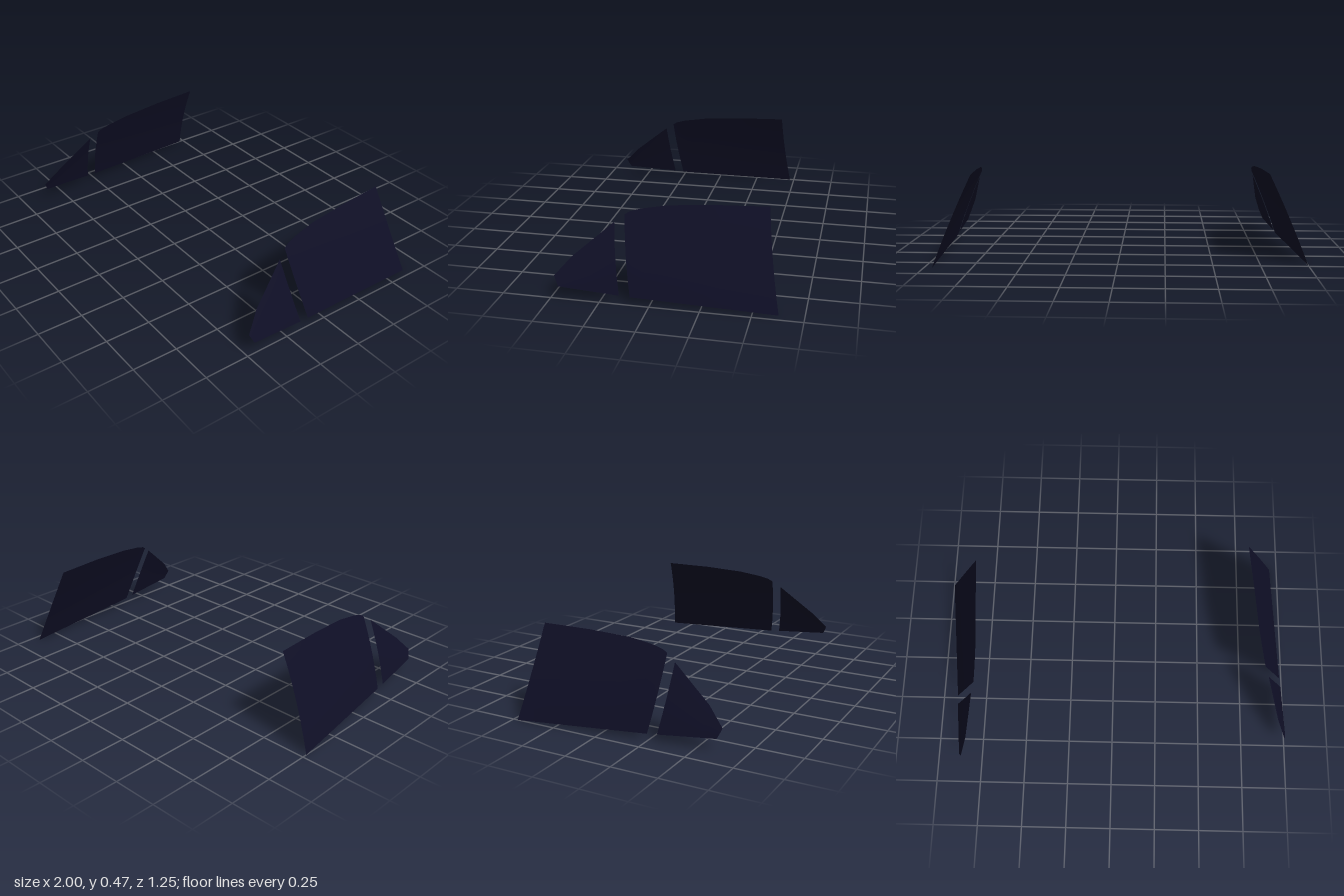
import * as THREE from 'three';

const ROWS = 6;
const YAW = 0.0777;

// Points are [half width, height, forward]
const panes = {
  DoorWindow: {
    bottom: [[0.981, 0, -0.55], [0.952, 0.035, 0.175]],
    top: [
      [0.78, 0.475, -0.487], [0.784, 0.472, -0.22], [0.787, 0.46, 0.01],
      [0.796, 0.44, 0.14], [0.802, 0.425, 0.195], [0.807, 0.41, 0.22],
    ],
  },
  QuarterWindow: {
    bottom: [[0.952, 0.04, 0.2285], [0.94, 0.065, 0.534]],
    top: [[0.824, 0.375, 0.2685], [0.882, 0.205, 0.474], [0.922, 0.115, 0.557]],
  },
};

// Gently bowed sheet of glass lofted from its bottom edge to its top edge
function paneGeometry({ bottom, top }, side) {
  const first = top[0][2];
  const span = top[top.length - 1][2] - first;
  const start = new THREE.Vector3(...bottom[0]);
  const end = new THREE.Vector3(...bottom[1]);
  const positions = [];
  const indices = [];
  top.forEach((point, i) => {
    const upper = new THREE.Vector3(...point);
    const lower = start.clone().lerp(end, (upper.z - first) / span);
    const height = (upper.y - lower.y) / 0.475;
    for (let j = 0; j <= ROWS; j++) {
      const t = j / ROWS;
      const bow = 0.007 * 4 * t * (1 - t) * height;
      const p = lower.clone().lerp(upper, t);
      positions.push(side * (p.x + bow), p.y, p.z + bow);
      if (i < top.length - 1 && j < ROWS) {
        const a = i * (ROWS + 1) + j;
        const b = a + ROWS + 1;
        if (side > 0) indices.push(a, a + 1, b, b, a + 1, b + 1);
        else indices.push(a, b, a + 1, b, b + 1, a + 1);
      }
    }
  });
  const geometry = new THREE.BufferGeometry();
  geometry.setAttribute('position', new THREE.Float32BufferAttribute(positions, 3));
  geometry.setIndex(indices);
  geometry.computeVertexNormals();
  return geometry;
}

export function createModel() {
  const model = new THREE.Group();
  model.name = 'sideWindows';

  const glass = new THREE.MeshStandardMaterial({ color: 0x0f0f26, side: THREE.DoubleSide });
  glass.name = 'dark tinted glass';

  // Mirrored pair of windows, turned slightly about the vertical
  const windows = new THREE.Group();
  windows.name = 'windowPair';
  windows.rotation.y = YAW;
  windows.position.set(0.021, 0, -0.0016);
  model.add(windows);

  for (const side of [1, -1]) {
    for (const [name, pane] of Object.entries(panes)) {
      const mesh = new THREE.Mesh(paneGeometry(pane, side), glass);
      mesh.name = (side > 0 ? 'left' : 'right') + name;
      windows.add(mesh);
    }
  }
  return model;
}
